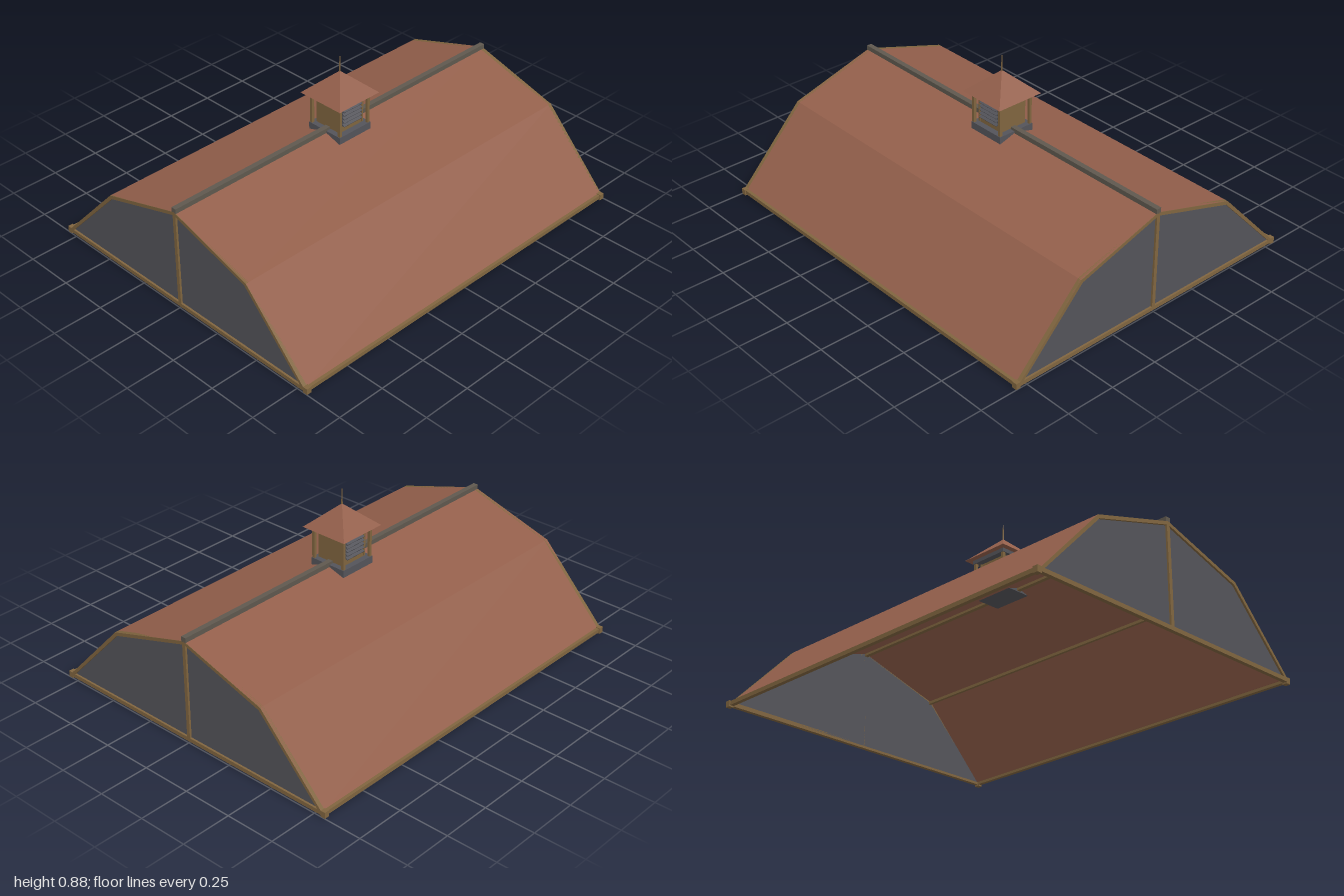
import * as THREE from 'three';

const paint = (name, color) => {
  const m = new THREE.MeshStandardMaterial({ color });
  m.name = name;
  return m;
};

export function createModel() {
  const group = new THREE.Group();
  group.name = 'barnRoof';
  const shingle = paint('shingleRed', 0x935f4b);
  const slate = paint('slateGrey', 0x54545a);
  const timber = paint('timberBrown', 0x80653f);
  const ridgeGrey = paint('ridgeGreyBrown', 0x5f584e);

  const add = (name, geo, mat, x = 0, y = 0, z = 0, parent = group) => {
    const mesh = new THREE.Mesh(geo, mat);
    mesh.name = name;
    mesh.position.set(x, y, z);
    parent.add(mesh);
    return mesh;
  };
  const box = (name, w, h, d, mat, x, y, z, parent) =>
    add(name, new THREE.BoxGeometry(w, h, d), mat, x, y, z, parent);

  // Gambrel cross-sections as [z, y], from eave to eave
  const outer = [[-0.795, 0.02], [-0.45, 0.383], [0, 0.52], [0.45, 0.383], [0.795, 0.02]];
  const inner = [[-0.781, 0.02], [-0.445, 0.373], [0, 0.51], [0.445, 0.373], [0.781, 0.02]];
  const trimIn = [[-0.775, 0.02], [-0.441, 0.368], [0, 0.503], [0.441, 0.368], [0.775, 0.02]];
  const extrudeX = (points, width) => {
    const shape = new THREE.Shape(points.map(([z, y]) => new THREE.Vector2(z, y)));
    return new THREE.ExtrudeGeometry(shape, { depth: width, bevelEnabled: false })
      .translate(0, 0, -width / 2).rotateY(Math.PI / 2);
  };

  // Roof shell and ridge cap
  add('roofShell', extrudeX([...outer, ...[...inner].reverse()], 1.996), shingle);
  box('ridgeCap', 2, 0.025, 0.026, ridgeGrey, 0, 0.527, 0);

  // Timbers running under the ridge and the roof breaks
  box('ridgeBeam', 1.97, 0.016, 0.02, timber, 0, 0.503, 0);
  for (const s of [-1, 1]) {
    box('purlin', 1.97, 0.014, 0.014, timber, 0, 0.366, s * 0.439);
    box('eaveBeam', 2, 0.02, 0.02, timber, 0, 0.017, s * 0.794);
  }

  // Gable ends with rake trim, sill, post and corner blocks
  for (const s of [-1, 1]) {
    add('gableWall', extrudeX(inner, 0.01), slate, s * 0.985);
    add('rakeTrim', extrudeX([...outer, ...[...trimIn].reverse()], 0.02), timber, s * 0.99);
    box('gableSill', 0.02, 0.02, 1.6, timber, s * 0.99, 0.018, 0);
    box('gablePost', 0.02, 0.49, 0.018, timber, s * 0.99, 0.264, 0);
    for (const t of [-1, 1])
      box('cornerBlock', 0.026, 0.03, 0.024, timber, s * 0.987, 0.015, t * 0.797);
  }

  // Cupola
  const cupola = new THREE.Group();
  cupola.name = 'cupola';
  group.add(cupola);
  box('cupolaBase', 0.2, 0.036, 0.2, slate, 0, 0.509, 0, cupola);
  box('cupolaCore', 0.14, 0.142, 0.14, timber, 0, 0.598, 0, cupola);
  box('cupolaTopPlate', 0.2, 0.02, 0.2, slate, 0, 0.677, 0, cupola);
  for (const x of [-1, 1])
    for (const z of [-1, 1])
      box('cupolaPost', 0.014, 0.142, 0.014, timber, x * 0.09, 0.598, z * 0.09, cupola);

  // Louvred vents front and back, plain panels on the sides
  for (const s of [-1, 1]) {
    box('ventPanel', 0.116, 0.09, 0.006, slate, 0, 0.605, s * 0.072, cupola);
    for (let i = 0; i < 5; i++) {
      const slat = box('louvre', 0.116, 0.005, 0.02, slate, 0, 0.567 + i * 0.019, s * 0.078, cupola);
      slat.rotation.x = s * 0.6;
    }
    box('sidePanel', 0.008, 0.136, 0.15, timber, s * 0.073, 0.599, 0, cupola);
  }

  // Pyramid cap and spire
  const cap = new THREE.ConeGeometry(0.127 * Math.SQRT2, 0.115, 4).rotateY(Math.PI / 4).toNonIndexed();
  cap.computeVertexNormals();
  add('cupolaRoof', cap, shingle, 0, 0.743, 0, cupola);
  add('spire', new THREE.CylinderGeometry(0.002, 0.004, 0.085, 8), timber, 0, 0.833, 0, cupola);

  return group;
}
